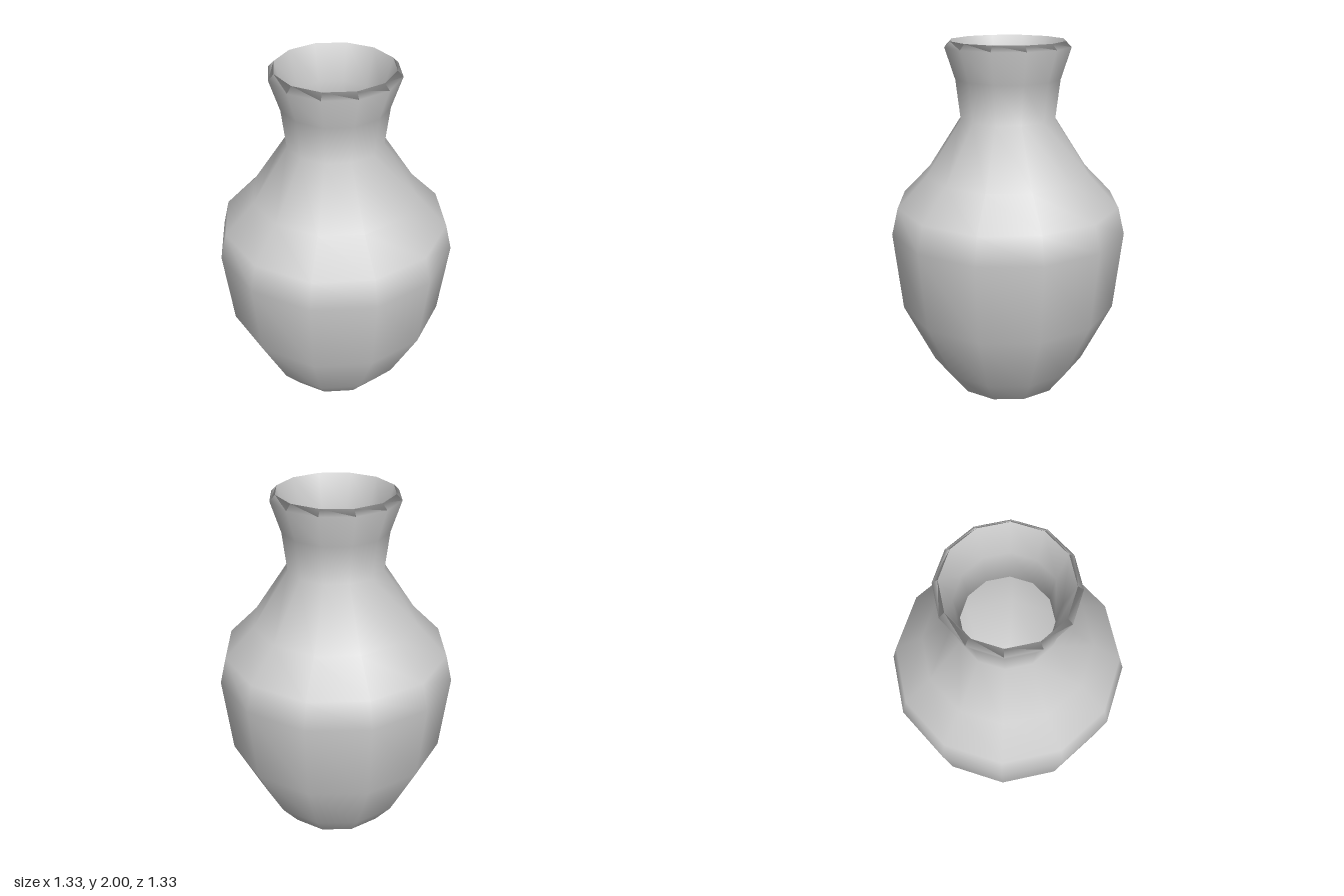
import * as THREE from 'three';

const SIDES = 12;

export function createModel() {
  const group = new THREE.Group();
  group.name = 'vase';
  const material = new THREE.MeshStandardMaterial({ color: 0xcccccc });

  const add = (name, geometry) => {
    const mesh = new THREE.Mesh(geometry, material);
    mesh.name = name;
    group.add(mesh);
    return mesh;
  };

  // Profile as [radius, height]: up the outside, over the lip, down the inside
  const outer = [
    [0.34, 0], [0.45, 0.15], [0.622, 0.51], [0.667, 0.96], [0.63, 1.11],
    [0.465, 1.28], [0.265, 1.585], [0.29, 1.8], [0.345, 1.97],
  ];
  const inner = [
    [0.315, 2], [0.262, 1.8], [0.24, 1.585], [0.44, 1.265], [0.6, 1.095],
    [0.637, 0.96], [0.592, 0.52], [0.425, 0.17], [0.32, 0.04], [0, 0.03],
  ];
  const profile = [...outer, ...inner].map(([r, y]) => new THREE.Vector2(r, y));
  add('body', new THREE.LatheGeometry(profile, SIDES));

  // Flat underside, separate so that its edge stays sharp
  const base = add('base', new THREE.CircleGeometry(outer[0][0], SIDES));
  base.rotation.x = Math.PI / 2;

  return group;
}
